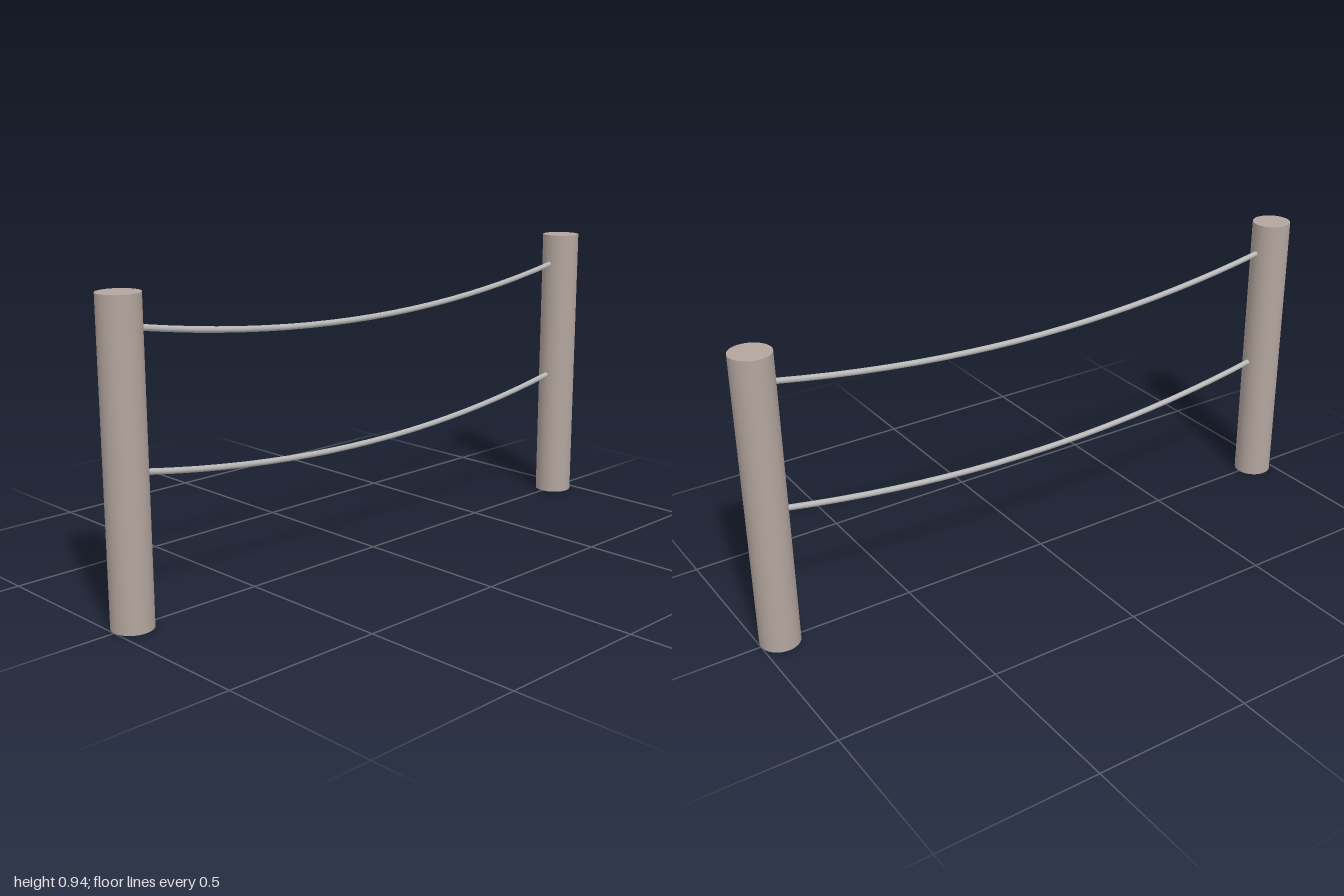
import * as THREE from 'three';

const POST_X = 0.938, POST_R = 0.062, POST_H = 0.938;
const ROPE_R = 0.0093, SAG = 0.08;

export function createModel() {
  const model = new THREE.Group();
  model.name = 'ropeFence';

  const wood = new THREE.MeshStandardMaterial({ color: 0xb3a59e });
  wood.name = 'weathered wood';
  const rope = new THREE.MeshStandardMaterial({ color: 0xb8b8b8 });
  rope.name = 'light grey rope';

  // Round posts at both ends
  const postGeometry = new THREE.CylinderGeometry(POST_R, POST_R, POST_H, 32);
  for (const [name, side] of [['leftPost', 1], ['rightPost', -1]]) {
    const post = new THREE.Mesh(postGeometry, wood);
    post.name = name;
    post.position.set(side * POST_X, POST_H / 2, 0);
    model.add(post);
  }

  // Sagging ropes, ending just inside the posts
  const endX = POST_X - POST_R + 0.003;
  const curve = new THREE.QuadraticBezierCurve3(
    new THREE.Vector3(-endX, 0, 0),
    new THREE.Vector3(0, -2 * SAG, 0),
    new THREE.Vector3(endX, 0, 0)
  );
  const ropeGeometry = new THREE.TubeGeometry(curve, 20, ROPE_R, 8);
  for (const [name, y] of [['upperRope', 0.836], ['lowerRope', 0.436]]) {
    const mesh = new THREE.Mesh(ropeGeometry, rope);
    mesh.name = name;
    mesh.position.y = y;
    model.add(mesh);
  }

  return model;
}
